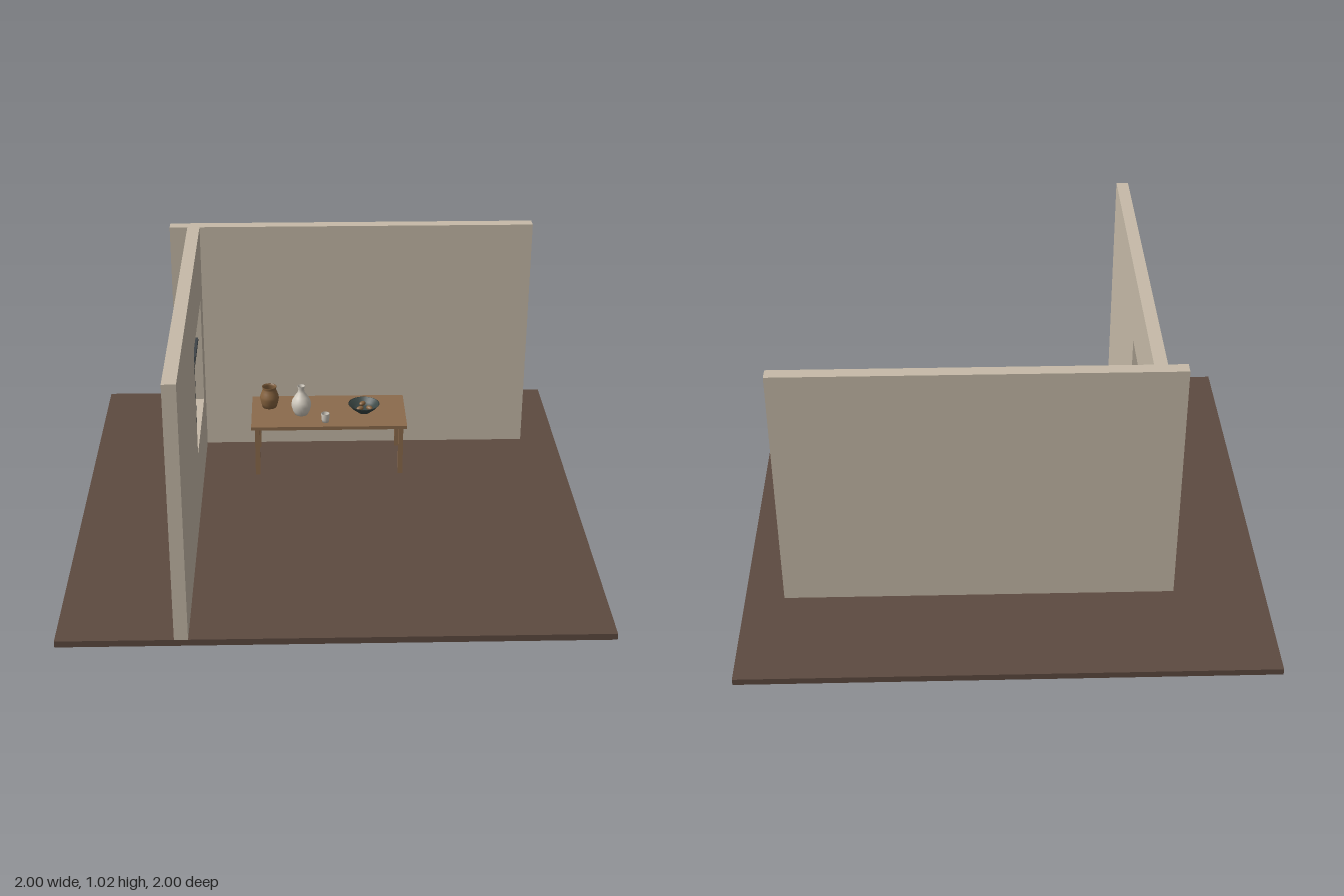
import * as THREE from 'three';

const mat = (name, color) => {
  const m = new THREE.MeshStandardMaterial({ color });
  m.name = name;
  return m;
};

export function createModel() {
  const floorMat = mat('dark floor', 0x5d4a40);
  const wallMat = mat('plaster', 0xc6baa8);
  const frameMat = mat('window iron', 0x3d4347);
  const woodMat = mat('table wood', 0x8b6b4c);
  const clayMat = mat('clay', 0x86633f);
  const paleMat = mat('pale ceramic', 0xcfc8bc);
  const bowlMat = mat('dark glaze', 0x3a4644);

  const model = new THREE.Group();
  model.name = 'room';
  const add = (parent, name, geometry, material, x = 0, y = 0, z = 0) => {
    const mesh = new THREE.Mesh(geometry, material);
    mesh.name = name;
    mesh.position.set(x, y, z);
    parent.add(mesh);
    return mesh;
  };
  const box = (w, h, d) => new THREE.BoxGeometry(w, h, d);
  const FLOOR = 0.025, WALL_TOP = 1.025;

  // Floor slab and back wall
  add(model, 'floor', box(2, FLOOR, 2), floorMat, 0, FLOOR / 2, 0);
  add(model, 'backWall', box(1.5, 1, 0.05), wallMat, 0.1, 0.525, -0.525);

  // Side wall with a window opening, drawn in the z-y plane
  const outline = new THREE.Shape([
    new THREE.Vector2(-0.5, FLOOR), new THREE.Vector2(1, FLOOR),
    new THREE.Vector2(1, WALL_TOP), new THREE.Vector2(-0.5, WALL_TOP),
  ]);
  outline.holes.push(new THREE.Path([
    new THREE.Vector2(-0.375, 0.3), new THREE.Vector2(-0.375, 0.75),
    new THREE.Vector2(0.125, 0.75), new THREE.Vector2(0.125, 0.3),
  ]));
  const sideGeo = new THREE.ExtrudeGeometry(outline, { depth: 0.05, bevelEnabled: false });
  sideGeo.rotateY(-Math.PI / 2);
  add(model, 'sideWall', sideGeo, wallMat, -0.527, 0, 0);

  // Window bars
  add(model, 'verticalBar', box(0.015, 0.45, 0.015), frameMat, -0.552, 0.525, -0.125);
  add(model, 'horizontalBar', box(0.02, 0.015, 0.5), frameMat, -0.552, 0.578, -0.125);

  // Table
  const table = new THREE.Group();
  table.name = 'table';
  table.position.set(0, 0, -0.3375);
  model.add(table);
  add(table, 'tableTop', box(0.65, 0.015, 0.295), woodMat, 0, 0.2475, 0);
  for (const x of [-0.3, 0.3]) {
    for (const z of [-0.125, 0.125]) {
      add(table, 'tableLeg', box(0.02, 0.215, 0.02), woodMat, x, 0.1325, z);
    }
  }

  // Turned vessels: outer profile upwards, then the inside back down
  const TABLE_TOP = 0.255;
  const vessel = (name, material, x, z, profile) => {
    const points = profile.map(([r, y]) => new THREE.Vector2(r, y));
    return add(model, name, new THREE.LatheGeometry(points, 32), material, x, TABLE_TOP, z);
  };
  vessel('jar', clayMat, -0.25, -0.388, [
    [0, 0], [0.03, 0], [0.036, 0.02], [0.04, 0.04], [0.039, 0.052], [0.033, 0.068],
    [0.028, 0.08], [0.028, 0.086], [0.031, 0.094], [0.028, 0.094], [0.025, 0.086],
    [0.03, 0.066], [0.034, 0.045], [0.027, 0.01], [0, 0.008],
  ]);
  vessel('vase', paleMat, -0.115, -0.315, [
    [0, 0], [0.027, 0], [0.036, 0.018], [0.042, 0.042], [0.039, 0.062], [0.028, 0.082],
    [0.015, 0.1], [0.012, 0.115], [0.017, 0.13], [0.014, 0.13], [0.009, 0.115],
    [0.011, 0.1], [0.024, 0.08], [0, 0.06],
  ]);
  vessel('cup', paleMat, -0.015, -0.238, [
    [0, 0], [0.014, 0], [0.016, 0.012], [0.018, 0.038], [0.015, 0.038], [0.012, 0.008], [0, 0.006],
  ]);
  vessel('bowl', bowlMat, 0.15, -0.328, [
    [0, 0], [0.026, 0], [0.03, 0.005], [0.048, 0.018], [0.066, 0.038],
    [0.062, 0.038], [0.045, 0.022], [0.028, 0.011], [0, 0.009],
  ]);

  // Nuts lying in the bowl
  for (const [x, z, turn] of [[-0.005, -0.031, 0.9], [-0.017, 0.017, 0.5], [0.023, 0.013, -0.9]]) {
    const nut = add(model, 'nut', new THREE.SphereGeometry(0.012, 16, 12), clayMat, 0.15 + x, 0.278, -0.328 + z);
    nut.scale.set(1.4, 0.8, 0.95);
    nut.rotation.y = turn;
  }
  return model;
}
